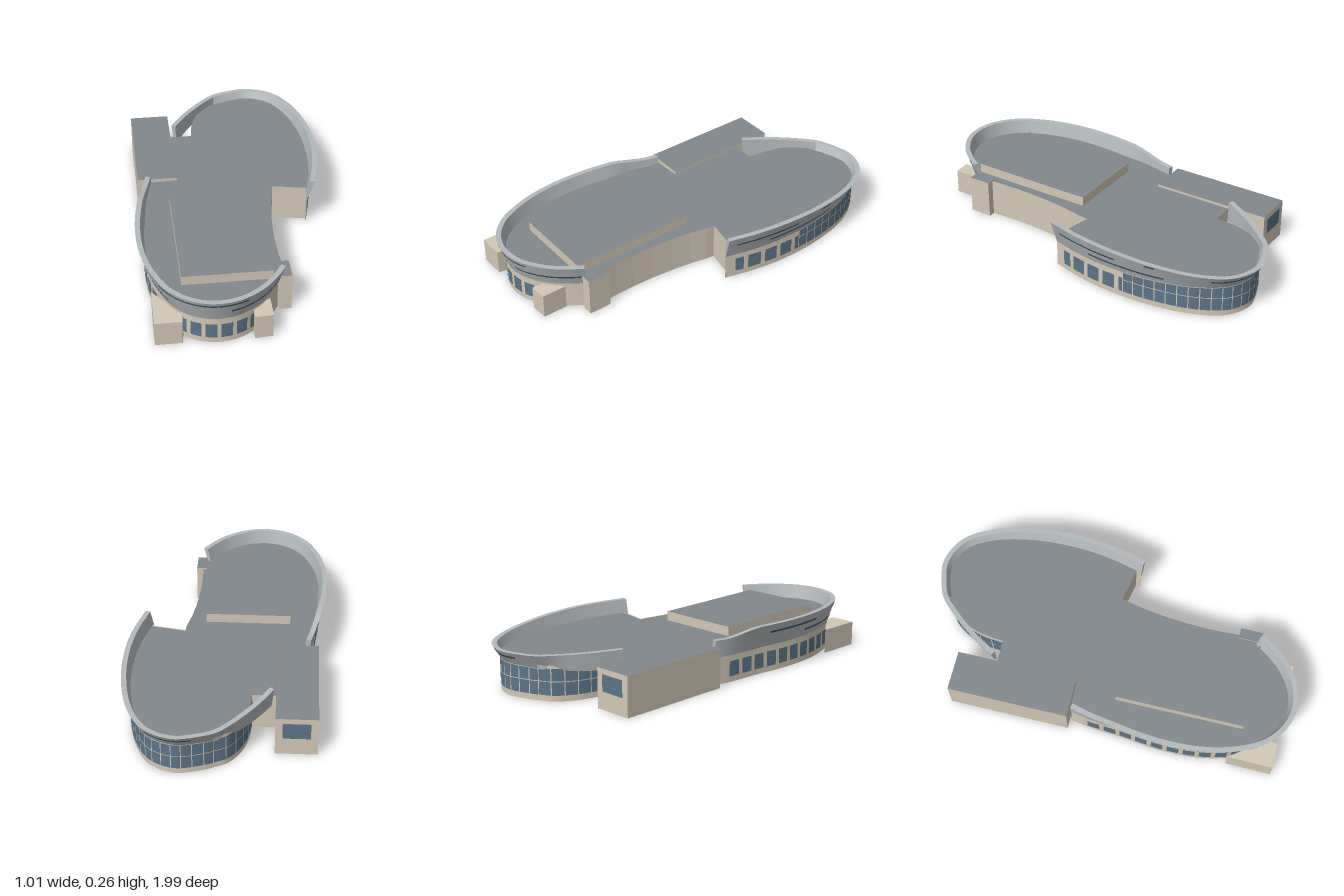
import * as THREE from 'three';

const mat = (color) => new THREE.MeshStandardMaterial({ color, side: THREE.DoubleSide });
const BEIGE = mat(0xd3c8b7), ROOF = mat(0x82888d), METAL = mat(0xb4b9bc), GLASS = mat(0x5c7488), STRIPE = mat(0x46586a);
const ROOF_Y = 0.192, TILT = 0.085;

// Plan curve through [x, z] points, running so that outward is to its left
function planCurve(points) {
  const c = new THREE.CatmullRomCurve3(points.map(([x, z]) => new THREE.Vector3(x, 0, z)), false, 'centripetal');
  c.arcLengthDivisions = 400;
  return c;
}

// Point on a plan curve, moved outward by d and raised to y
function at(curve, u, d, y) {
  const v = THREE.MathUtils.clamp(u, 0, 1), p = curve.getPointAt(v), t = curve.getTangentAt(v);
  return new THREE.Vector3(p.x - t.z * d, y, p.z + t.x * d);
}

// Parameter of the curve point nearest to (x, z)
function nearest(curve, x, z) {
  let best = 0, bestD = Infinity;
  for (let i = 0; i <= 500; i++) {
    const p = curve.getPointAt(i / 500), d = Math.hypot(p.x - x, p.z - z);
    if (d < bestD) { bestD = d; best = i / 500; }
  }
  return best;
}

// Surface between two rails; each rail maps u to [outward offset, height]
function strip(group, name, material, curve, u0, u1, low, high) {
  const n = Math.max(2, Math.ceil((u1 - u0) * 90)), pos = [], idx = [];
  for (let i = 0; i <= n; i++) {
    const u = u0 + ((u1 - u0) * i) / n;
    pos.push(...at(curve, u, ...low(u)).toArray(), ...at(curve, u, ...high(u)).toArray());
    if (i < n) idx.push(2 * i, 2 * i + 2, 2 * i + 1, 2 * i + 1, 2 * i + 2, 2 * i + 3);
  }
  const g = new THREE.BufferGeometry();
  g.setAttribute('position', new THREE.Float32BufferAttribute(pos, 3));
  g.setIndex(idx);
  g.computeVertexNormals();
  add(group, name, g, material);
}

function add(group, name, geometry, material) {
  const m = new THREE.Mesh(geometry, material);
  m.name = name;
  group.add(m);
  return m;
}

// Flat quad closing the end of a parapet
function endCap(group, corners) {
  const g = new THREE.BufferGeometry().setFromPoints(corners);
  g.setIndex([0, 1, 2, 0, 2, 3]);
  g.computeVertexNormals();
  add(group, 'parapetEnd', g, METAL);
}

// Flared parapet: outer face, rim, inner face and end caps
function parapet(group, curve, s, u0, u1, innerLow) {
  const outLow = (u) => [-s.flare(u), s.low(u)], outTop = (u) => [0, s.top(u)];
  const inTop = (u) => [-0.026, s.top(u)];
  strip(group, 'parapetOuter', METAL, curve, u0, u1, outLow, outTop);
  strip(group, 'parapetRim', METAL, curve, u0, u1, outTop, inTop);
  strip(group, 'parapetInner', METAL, curve, u0, u1, innerLow, inTop);
  for (const u of [u0, u1]) endCap(group, [outLow, outTop, inTop, innerLow].map((r) => at(curve, u, ...r(u))));
}

// Dark line set on the flared face
function stripe(group, curve, s, ua, ub, y, h = 0.011) {
  const rail = (dy) => (u) => {
    const k = (y + dy - s.low(u)) / (s.top(u) - s.low(u));
    return [-s.flare(u) * (1 - k) + 0.002, y + dy];
  };
  strip(group, 'parapetStripe', STRIPE, curve, Math.min(ua, ub), Math.max(ua, ub), rail(-h / 2), rail(h / 2));
}

function pane(group, name, material, curve, s, ua, ub, y0, y1, lift = 0.002) {
  for (const side of [1, -1]) { // seen from outside and inside
    strip(group, name, material, curve, ua, ub, (u) => [-s.flare(u) + side * lift, y0],
      (u) => [-s.flare(u) + side * lift, typeof y1 === 'function' ? y1(u) : y1]);
  }
}

// Glazed wall with a grid of thin bars
function glazing(group, curve, s, ua, ub, top, count) {
  pane(group, 'glazing', GLASS, curve, s, ua, ub, 0.03, top);
  const w = 0.0025 / curve.getLength();
  for (let i = 0; i <= count; i++) {
    const u = ua + ((ub - ua) * i) / count;
    pane(group, 'glazingBar', BEIGE, curve, s, Math.max(0, u - w), Math.min(1, u + w), 0.03, top, 0.004);
  }
  pane(group, 'glazingRail', BEIGE, curve, s, ua, ub, 0.098, 0.102, 0.004);
}

// Straight walls along a list of [x, z] points
function straightWalls(group, name, pts, h) {
  const g = new THREE.BufferGeometry(), pos = [];
  for (let i = 0; i + 1 < pts.length; i++) {
    const [a, b] = [pts[i], pts[i + 1]];
    pos.push(a[0], 0, a[1], b[0], 0, b[1], b[0], h, b[1], a[0], 0, a[1], b[0], h, b[1], a[0], h, a[1]);
  }
  g.setAttribute('position', new THREE.Float32BufferAttribute(pos, 3));
  g.computeVertexNormals();
  add(group, name, g, BEIGE);
}

const planShape = (pts) => new THREE.Shape(pts.map(([x, z]) => new THREE.Vector2(x, -z)));

// Grey-topped box, turned with the building's skewed grid
function block(group, name, w, h, d, x, y, z) {
  const m = add(group, name, new THREE.BoxGeometry(w, h, d), [BEIGE, BEIGE, ROOF, BEIGE, BEIGE, BEIGE]);
  m.position.set(x, y + h / 2, z);
  m.rotation.y = TILT;
  return m;
}

export function createModel() {
  const model = new THREE.Group();
  const { smoothstep, clamp } = THREE.MathUtils;

  // Rim lines of the two lobes
  const front = planCurve([[-0.41, -0.1], [-0.43, 0.03], [-0.45, 0.22], [-0.452, 0.4], [-0.43, 0.58], [-0.38, 0.74],
    [-0.295, 0.885], [-0.19, 0.965], [-0.075, 0.992], [0.05, 0.965], [0.165, 0.88], [0.235, 0.785], [0.27, 0.72]]);
  const back = planCurve([[0.47, 0.015], [0.497, -0.16], [0.503, -0.345], [0.475, -0.58], [0.4, -0.81], [0.295, -0.95],
    [0.15, -1], [0.005, -0.957], [-0.05, -0.925], [-0.115, -0.85], [-0.205, -0.715], [-0.275, -0.575]]);
  const kink = nearest(back, -0.05, -0.925);

  const frontSection = {
    flare: (u) => 0.008 + 0.032 * smoothstep(u, 0, 0.2),
    low: () => 0.14,
    top: (u) => 0.232 + 0.03 * smoothstep(u, 0.03, 0.17),
  };
  const depth = (u) => clamp(-back.getPointAt(clamp(u, 0, 1)).z, 0, 1);
  const backSection = {
    flare: (u) => 0.04 - 0.025 * smoothstep(u, kink, kink + 0.1),
    low: (u) => 0.135 + 0.031 * depth(u) ** 2,
    top: (u) => 0.262 - 0.032 * smoothstep(depth(u), 0.2, 1.15) * 1.05,
  };
  const roofEdge = (s) => (u) => [-Math.max(0.03, s.flare(u) + 0.004), ROOF_Y - 0.002];

  // Front lobe
  const frontLobe = new THREE.Group();
  frontLobe.name = 'frontLobe';
  model.add(frontLobe);
  strip(frontLobe, 'curvedWall', BEIGE, front, 0, 1, (u) => [-frontSection.flare(u), 0], (u) => [-frontSection.flare(u), 0.14]);
  parapet(frontLobe, front, frontSection, 0, 1, roofEdge(frontSection));
  const L = front.getLength(), mid = nearest(front, -0.093, 0.99);
  for (let i = -15; i <= 5; i++) {
    const u = mid + (i * 0.087) / L, w = 0.032 / L;
    if (u - w > 0.02 && u + w < 0.97) pane(frontLobe, 'window', GLASS, front, frontSection, u - w, u + w, 0.03, 0.109);
  }
  const f = (x, z) => nearest(front, x, z);
  stripe(frontLobe, front, frontSection, f(-0.335, 0.82), f(0.085, 0.945), 0.241);
  stripe(frontLobe, front, frontSection, f(-0.44, 0.53), f(-0.31, 0.865), 0.179);
  stripe(frontLobe, front, frontSection, f(0.01, 0.977), f(0.262, 0.735), 0.194);
  stripe(frontLobe, front, frontSection, f(-0.45, 0.25), f(-0.42, 0.62), 0.22);

  // Back lobe
  const backLobe = new THREE.Group();
  backLobe.name = 'backLobe';
  model.add(backLobe);
  strip(backLobe, 'curvedWall', BEIGE, back, 0, kink, (u) => [-backSection.flare(u), 0], (u) => [-backSection.flare(u), backSection.low(u)]);
  parapet(backLobe, back, backSection, 0, kink, roofEdge(backSection));
  const b = (z) => nearest(back, 0.5 - 0.12 * clamp((-z - 0.4) / 0.45, 0, 1), z);
  for (const [z0, z1] of [[-0.033, -0.083], [-0.11, -0.185], [-0.21, -0.282], [-0.308, -0.382], [-0.405, -0.43]]) {
    pane(backLobe, 'window', GLASS, back, backSection, b(z0), b(z1), 0.03, 0.109);
  }
  glazing(backLobe, back, backSection, b(-0.43), kink, (u) => backSection.low(u) - 0.002, 16);
  for (const [z0, z1, y] of [[-0.03, -0.4, 0.215], [-0.23, -0.65, 0.177], [-0.56, -0.61, 0.238]]) {
    stripe(backLobe, back, backSection, b(z0), b(z1), y);
  }
  stripe(backLobe, back, backSection, nearest(back, 0.36, -0.87), nearest(back, 0.06, -0.98), 0.205);

  // Free-standing end of the back parapet, reaching past the roof
  const finLow = (u) => [-0.028, backSection.low(u)];
  parapet(backLobe, back, backSection, kink, 1, finLow);
  strip(backLobe, 'parapetSoffit', METAL, back, kink, 1, finLow, (u) => [-backSection.flare(u), backSection.low(u)]);

  // Recessed glazed wall behind it
  const k = at(back, kink, -0.04, 0);
  const recess = planCurve([[k.x, k.z], [-0.085, -0.855], [-0.14, -0.76], [-0.163, -0.66], [-0.165, -0.555]]);
  const flat = { flare: () => 0 };
  strip(backLobe, 'recessedWall', BEIGE, recess, 0, 1, () => [0, 0], () => [0, ROOF_Y]);
  glazing(backLobe, recess, flat, 0, 1, 0.165, 6);

  // Straight and concave walls joining the lobes
  const east = [[0.25, -0.04], [0.25, 0], [0.238, 0.1], [0.232, 0.2], [0.232, 0.32], [0.237, 0.43], [0.247, 0.53], [0.26, 0.62], [0.268, 0.7]];
  const westStep = [[-0.165, -0.555], [-0.28, -0.545], [-0.245, -0.12], [-0.4, -0.105]];
  const e = at(back, 0, -0.04, 0), w = at(front, 1, -0.04, 0);
  straightWalls(model, 'eastWall', [[e.x, e.z], [0.43, -0.02], ...east, [w.x, w.z]], 0.197);
  straightWalls(model, 'westWall', westStep, ROOF_Y);

  // Roof over the whole outline
  const outline = [];
  const trace = (curve, u1, off) => {
    for (let i = 0; i <= 60; i++) {
      const p = at(curve, (u1 * i) / 60, off((u1 * i) / 60), 0);
      outline.push([p.x, p.z]);
    }
  };
  trace(front, 1, (u) => -frontSection.flare(u) + 0.005);
  outline.push(...east.slice().reverse(), [0.43, -0.02]);
  trace(back, kink, () => -0.035);
  trace(recess, 1, () => 0);
  outline.push(...westStep.slice(1, 3));
  const roof = new THREE.ShapeGeometry(planShape(outline)).rotateX(-Math.PI / 2);
  add(model, 'roof', roof, ROOF).position.y = ROOF_Y;

  // Raised roof block, side annex and small east block
  block(model, 'roofBlock', 0.44, 0.05, 0.665, -0.036, 0.191, 0.413);
  const annex = block(model, 'annex', 0.206, 0.205, 0.628, -0.375, 0, -0.428);
  const win = add(annex, 'annexWindow', new THREE.BoxGeometry(0.135, 0.085, 0.004), GLASS);
  win.position.set(0, 0.032, -0.314);
  block(model, 'eastBlock', 0.055, 0.2, 0.118, 0.27, 0, 0.66);

  // Wedge-shaped porches at the front
  for (const pts of [[[-0.355, 0.965], [-0.225, 0.953], [-0.222, 0.9], [-0.372, 0.73]],
    [[0.115, 0.93], [0.202, 0.917], [0.192, 0.79], [0.11, 0.865]]]) {
    const g = new THREE.ExtrudeGeometry(planShape(pts), { depth: 0.128, bevelEnabled: false }).rotateX(-Math.PI / 2);
    add(model, 'porch', g, BEIGE);
  }
  return model;
}
